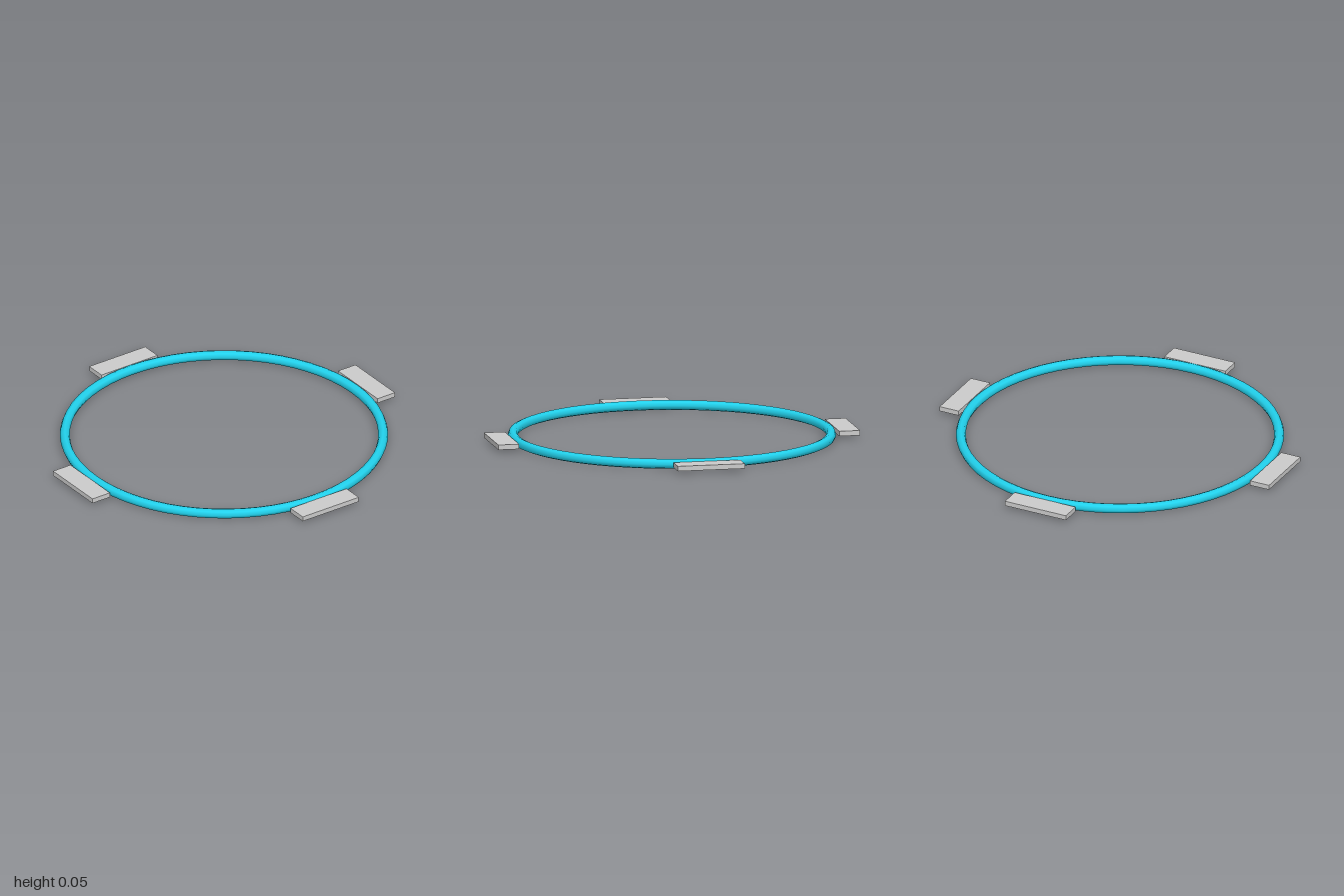
import * as THREE from 'three';

const TUBE = 0.027;        // ring tube radius
const RING = 0.86;         // ring centre-line radius
const TAB = { length: 0.37, height: 0.027, depth: 0.115 };

export function createModel() {
  const model = new THREE.Group();
  model.name = 'ringWithTabs';

  // Ring lying flat on the ground, eight-sided tube
  const ringGeometry = new THREE.TorusGeometry(RING, TUBE, 8, 64);
  ringGeometry.rotateX(Math.PI / 2);
  const ring = new THREE.Mesh(
    ringGeometry,
    new THREE.MeshStandardMaterial({ color: 0x22d3ee })
  );
  ring.name = 'ring';
  ring.position.y = TUBE;
  model.add(ring);

  // Four flat tabs around the rim, one per side
  const tabGeometry = new THREE.BoxGeometry(TAB.length, TAB.height, TAB.depth);
  const tabMaterial = new THREE.MeshStandardMaterial({ color: 0xcccccc });
  ['frontTab', 'leftTab', 'backTab', 'rightTab'].forEach((name, i) => {
    const angle = (i * Math.PI) / 2;
    const radius = 1 - TAB.depth / 2;
    const tab = new THREE.Mesh(tabGeometry, tabMaterial);
    tab.name = name;
    tab.position.set(Math.sin(angle) * radius, TUBE + 0.002, Math.cos(angle) * radius);
    tab.rotation.y = angle;
    model.add(tab);
  });

  return model;
}
